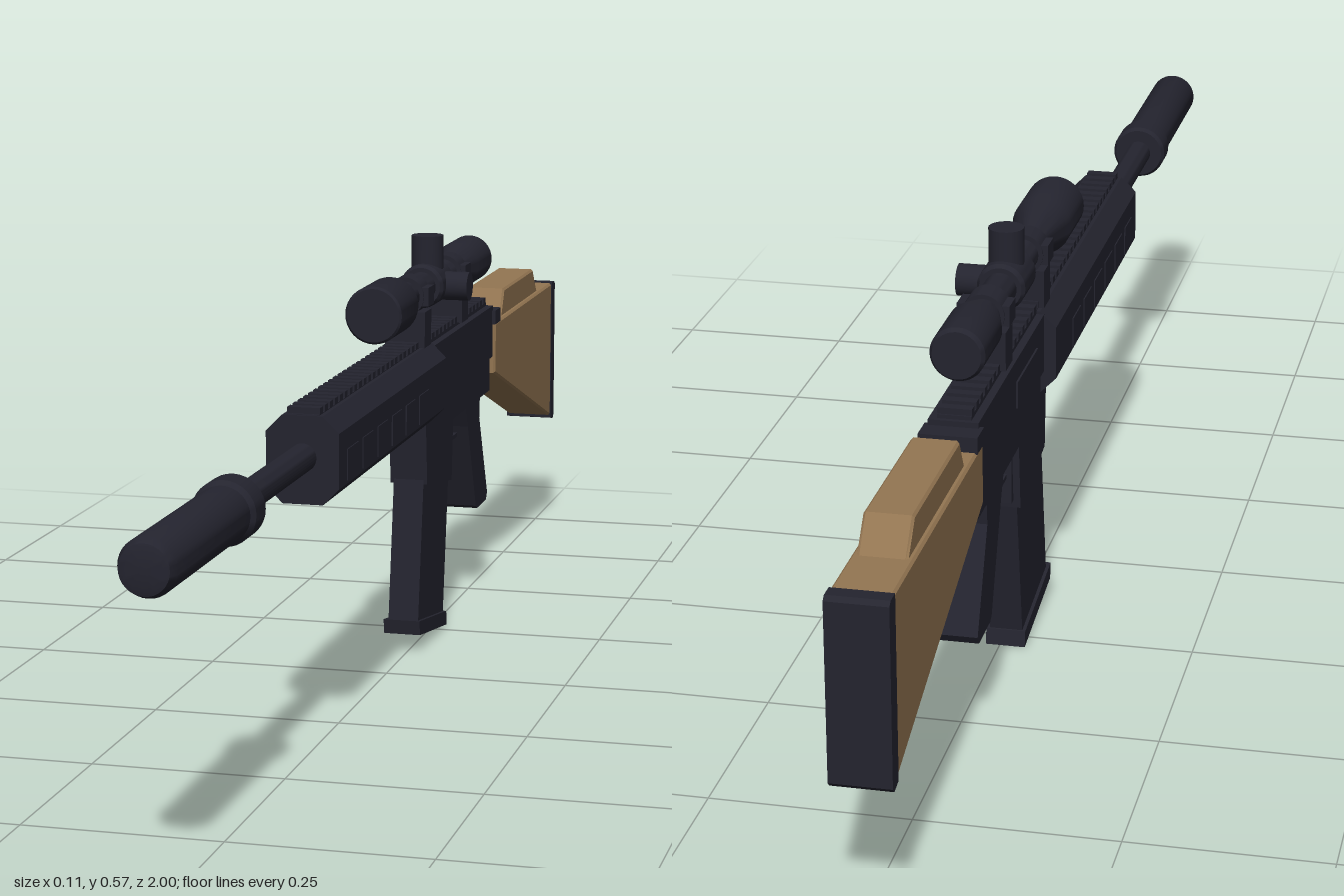
import * as THREE from 'three';
import { toCreasedNormals } from 'three/addons/utils/BufferGeometryUtils.js';

export function createModel() {
  const root = new THREE.Group();
  root.name = 'scopedRifle';
  const dark = new THREE.MeshStandardMaterial({ color: 0x24242f });
  dark.name = 'gunmetal';
  const tan = new THREE.MeshStandardMaterial({ color: 0x947652 });
  tan.name = 'tanStock';

  // Everything is built around x = 0; this group carries the slight side offset.
  const gun = new THREE.Group();
  gun.name = 'rifle';
  gun.position.x = -0.0075;
  root.add(gun);

  function add(name, geometry, material = dark, parent = gun) {
    const mesh = new THREE.Mesh(geometry, material);
    mesh.name = name;
    parent.add(mesh);
    return mesh;
  }
  // Box from its ranges in y and z, centred in x
  function block(name, width, y0, y1, z0, z1, material = dark, parent = gun) {
    const m = add(name, new THREE.BoxGeometry(width, y1 - y0, Math.abs(z1 - z0)), material, parent);
    m.position.set(0, (y0 + y1) / 2, (z0 + z1) / 2);
    return m;
  }
  // Side profile given as [z, y], extruded across x
  function profile(name, points, width, material = dark, bevel = 0) {
    const shape = new THREE.Shape(points.map(([z, y]) => new THREE.Vector2(z, y)));
    const g = new THREE.ExtrudeGeometry(shape, {
      depth: width - 2 * bevel, bevelEnabled: bevel > 0, bevelSize: bevel,
      bevelOffset: -bevel, bevelThickness: bevel, bevelSegments: 1,
    });
    g.translate(0, 0, -(width - 2 * bevel) / 2);
    g.rotateY(-Math.PI / 2);
    return add(name, g, material);
  }
  // Turned part along z from [radius, z], back to front
  function turned(name, points, y, parent = gun) {
    const g = new THREE.LatheGeometry(points.map(([r, z]) => new THREE.Vector2(r, z)), 32);
    g.rotateX(Math.PI / 2);
    const m = add(name, toCreasedNormals(g, 0.5), dark, parent);
    m.position.y = y;
    return m;
  }

  // Barrel and suppressor
  const bore = 0.379;
  turned('barrel', [[0, 0.3], [0.018, 0.3], [0.018, 0.7], [0, 0.7]], bore);
  turned('suppressor', [[0, 0.672], [0.035, 0.672], [0.039, 0.678], [0.039, 0.715], [0.034, 0.722],
    [0.034, 0.985], [0.029, 0.998], [0.022, 1.0], [0, 1.0]], bore);

  // Octagonal handguard
  const w = 0.047, h = 0.056, c = 0.021;
  const oct = new THREE.Shape([[w, h - c], [w - c, h], [c - w, h], [-w, h - c],
    [-w, c - h], [c - w, -h], [w - c, -h], [w, c - h]].map(([x, y]) => new THREE.Vector2(x, y)));
  const guard = add('handguard', new THREE.ExtrudeGeometry(oct, { depth: 0.57, bevelEnabled: false }));
  guard.position.set(0, 0.376, -0.182);
  for (const side of [1, -1]) {
    for (let i = 0; i < 6; i++) {
      const z = 0.325 - i * 0.075;
      const slot = block('handguardPanel', 0.004, 0.345, 0.385, z - 0.026, z + 0.026);
      slot.position.x = side * 0.0465;
    }
  }

  // Toothed top rail
  block('railBase', 0.042, 0.42, 0.433, -0.55, 0.385);
  for (let z = 0.375; z > -0.55; z -= 0.0235) block('railTooth', 0.042, 0.43, 0.441, z - 0.0065, z + 0.0065);

  // Receiver and magazine well
  block('upperReceiver', 0.062, 0.35, 0.428, -0.556, -0.18);
  block('lowerReceiver', 0.053, 0.298, 0.352, -0.556, -0.18);
  profile('magazineWell', [[-0.147, 0.33], [-0.156, 0.234], [-0.306, 0.21], [-0.317, 0.33]], 0.053);
  const port = block('ejectionPort', 0.004, 0.365, 0.4, -0.35, -0.23);
  port.position.x = -0.0315;
  block('chargingHandle', 0.072, 0.4, 0.421, -0.585, -0.55);

  // Magazine
  profile('magazine', [[-0.155, 0.24], [-0.124, 0.04], [-0.274, 0.016], [-0.306, 0.22]].map(([z, y]) => [z, y]), 0.043);
  profile('magazineBase', [[-0.114, 0.046], [-0.118, 0.025], [-0.281, 0], [-0.277, 0.021]], 0.052);

  // Trigger group and grip
  block('magazineCatch', 0.035, 0.22, 0.3, -0.317, -0.3);
  block('triggerGuard', 0.022, 0.254, 0.26, -0.405, -0.315);
  profile('trigger', [[-0.352, 0.3], [-0.358, 0.283], [-0.354, 0.264], [-0.36, 0.264], [-0.368, 0.283], [-0.366, 0.3]], 0.012);
  profile('grip', [[-0.395, 0.305], [-0.414, 0.268], [-0.47, 0.136], [-0.478, 0.131], [-0.54, 0.131],
    [-0.547, 0.142], [-0.49, 0.268], [-0.494, 0.305]], 0.051);

  // Stock, cheek rest and butt pad
  profile('stock', [[-0.553, 0.402], [-0.553, 0.325], [-0.976, 0.182], [-0.976, 0.402]], 0.071, tan, 0.003);
  profile('cheekRest', [[-0.62, 0.398], [-0.643, 0.441], [-0.858, 0.441], [-0.892, 0.398]], 0.058, tan, 0.003);
  profile('buttPad', [[-0.975, 0.403], [-0.975, 0.178], [-0.994, 0.174], [-1, 0.18], [-1, 0.398], [-0.994, 0.403]], 0.073);

  // Scope
  const scope = new THREE.Group();
  scope.name = 'scope';
  gun.add(scope);
  const axis = 0.503;
  turned('scopeTube', [[0, -0.536], [0.03, -0.536], [0.034, -0.53], [0.034, -0.44], [0.021, -0.395],
    [0.021, -0.115], [0.037, -0.06], [0.039, -0.05], [0.039, 0.04], [0.036, 0.043], [0, 0.043]], axis, scope);
  turned('turretHousing', [[0, -0.3], [0.027, -0.3], [0.031, -0.294], [0.031, -0.232], [0.027, -0.226], [0, -0.226]], axis, scope);
  const top = add('elevationTurret', new THREE.CylinderGeometry(0.0225, 0.0225, 0.08, 24), dark, scope);
  top.position.set(0, 0.532, -0.263);
  const knob = add('windageTurret', new THREE.CylinderGeometry(0.0205, 0.0205, 0.06, 24), dark, scope);
  knob.rotation.z = Math.PI / 2;
  knob.position.set(0.0305, 0.5, -0.268);
  for (const z of [-0.15, -0.378]) {
    turned('scopeRing', [[0, z - 0.019], [0.027, z - 0.019], [0.027, z + 0.019], [0, z + 0.019]], axis, scope);
    block('scopeMount', 0.057, 0.432, 0.482, z - 0.019, z + 0.019, dark, scope);
    block('ringClamp', 0.066, 0.49, 0.516, z - 0.017, z + 0.017, dark, scope);
  }

  return root;
}
